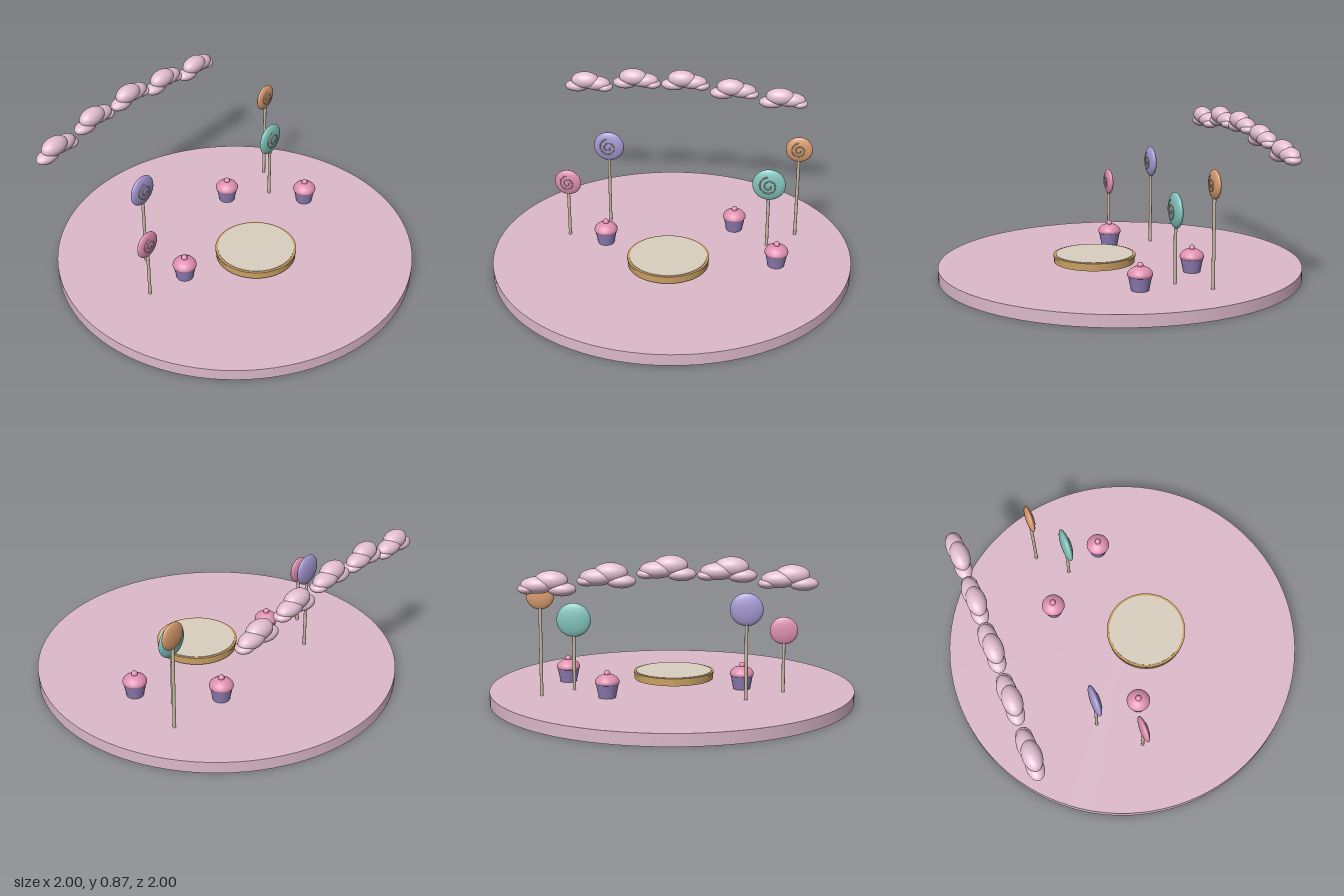
import * as THREE from 'three';

const mat = (name, color) => {
  const m = new THREE.MeshStandardMaterial({ color });
  m.name = name;
  return m;
};

const M = {
  ground: mat('dusty pink', 0xdcb9c9),
  cloud: mat('pale pink', 0xe2bfd0),
  pink: mat('candy pink', 0xdf90b0),
  purple: mat('lavender', 0xa598d2),
  wrapper: mat('wrapper purple', 0x9080b8),
  teal: mat('mint teal', 0x82c4bd),
  orange: mat('caramel orange', 0xd99c70),
  gold: mat('biscuit gold', 0xc99f62),
  cream: mat('cream', 0xd9cfbf),
  stick: mat('stick beige', 0xc8b8a6),
};

const GROUND_TOP = 0.065;

function add(parent, name, geometry, material, x = 0, y = 0, z = 0) {
  const mesh = new THREE.Mesh(geometry, material);
  mesh.name = name;
  mesh.position.set(x, y, z);
  parent.add(mesh);
  return mesh;
}

function group(parent, name, x, y, z) {
  const g = new THREE.Group();
  g.name = name;
  g.position.set(x, y, z);
  parent.add(g);
  return g;
}

// Cylinder given by its bottom and top heights
function disc(parent, name, material, rTop, rBottom, y0, y1, segments = 64) {
  const geometry = new THREE.CylinderGeometry(rTop, rBottom, y1 - y0, segments);
  return add(parent, name, geometry, material, 0, (y0 + y1) / 2, 0);
}

function ellipsoid(parent, name, material, [x, y, z], [rx, ry, rz]) {
  const geometry = new THREE.SphereGeometry(1, 32, 20).scale(rx, ry, rz);
  return add(parent, name, geometry, material, x, y, z);
}

// Flattened candy on a stick, with a spiral on its front
function lollipop(parent, material, x, y, z, r) {
  const g = group(parent, 'lollipop', x, 0, z);
  disc(g, 'lollipopStick', M.stick, 0.009, 0.009, GROUND_TOP, y, 12);
  const depth = r * 0.28;
  ellipsoid(g, 'lollipopCandy', material, [0, y, 0], [r, r, depth]);

  const points = [];
  for (let i = 0; i <= 48; i++) {
    const t = i / 48;
    const a = 0.4 - t * Math.PI * 3.6;
    const s = 0.1 + 0.5 * t;
    points.push(new THREE.Vector3(
      r * s * Math.cos(a), r * s * Math.sin(a), depth * Math.sqrt(1 - s * s)));
  }
  const path = new THREE.CatmullRomCurve3(points);
  add(g, 'lollipopSpiral', new THREE.TubeGeometry(path, 96, r * 0.045, 6), M.stick, 0, y, 0);
}

// Tapered wrapper, domed frosting and a small cherry
function cupcake(parent, x, z) {
  const g = group(parent, 'cupcake', x, 0, z);
  disc(g, 'cupcakeWrapper', M.wrapper, 0.062, 0.046, GROUND_TOP, 0.145, 20);
  const profile = [
    [0, 0.135], [0.055, 0.135], [0.064, 0.14], [0.066, 0.148], [0.063, 0.16],
    [0.053, 0.173], [0.037, 0.184], [0.018, 0.19], [0, 0.192],
  ].map(([r, y]) => new THREE.Vector2(r, y));
  add(g, 'cupcakeFrosting', new THREE.LatheGeometry(profile, 32), M.pink);
  add(g, 'cupcakeCherry', new THREE.SphereGeometry(0.017, 16, 12), M.pink, 0, 0.195, 0);
}

// Puffs shared by every cloud: centre, then radii
const PUFFS = [
  [[-0.072, -0.025, 0], [0.072, 0.034, 0.046]],
  [[-0.02, 0.015, 0.005], [0.084, 0.05, 0.052]],
  [[0.045, -0.005, -0.003], [0.085, 0.042, 0.05]],
  [[0.095, -0.025, 0], [0.05, 0.026, 0.044]],
];

export function createModel() {
  const model = new THREE.Group();
  model.name = 'candyGarden';

  disc(model, 'groundDisc', M.ground, 1, 1, 0, GROUND_TOP, 96);

  // Round biscuit platform
  const platform = group(model, 'platform', 0, 0, 0.147);
  disc(platform, 'platformBase', M.gold, 0.222, 0.222, 0.076, 0.108);
  disc(platform, 'platformRim', M.gold, 0.226, 0.226, 0.106, 0.118);
  disc(platform, 'platformTop', M.cream, 0.213, 0.213, 0.112, 0.121);

  lollipop(model, M.pink, -0.61, 0.4, -0.11, 0.075);
  lollipop(model, M.purple, -0.41, 0.545, -0.31, 0.087);
  lollipop(model, M.teal, 0.523, 0.45, -0.14, 0.093);
  lollipop(model, M.orange, 0.676, 0.605, -0.29, 0.075);

  for (const [x, z] of [[-0.386, -0.05], [0.322, -0.305], [0.589, 0.07]]) cupcake(model, x, z);

  // Arc of clouds along the back
  const heights = [0.765, 0.801, 0.806, 0.768, 0.726];
  heights.forEach((y, i) => {
    const cloud = group(model, 'cloud', -0.607 + 0.2915 * i, y, -0.722);
    for (const [centre, radii] of PUFFS) ellipsoid(cloud, 'cloudPuff', M.cloud, centre, radii);
  });

  return model;
}
